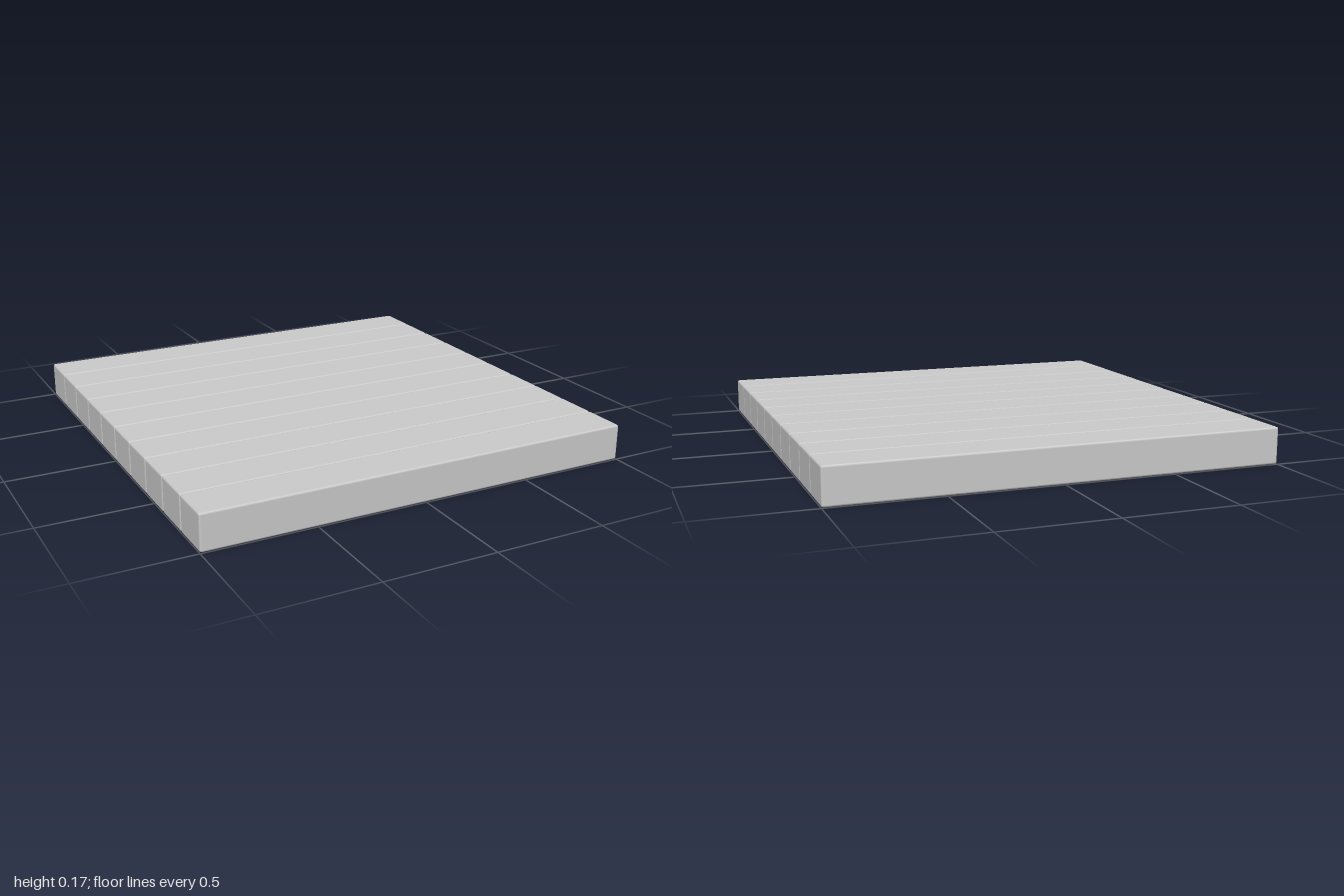
import * as THREE from 'three';
import { RoundedBoxGeometry } from 'three/addons/geometries/RoundedBoxGeometry.js';

const COUNT = 10;      // planks side by side along z
const LENGTH = 2;
const HEIGHT = 0.165;
const EDGE = 0.01;     // softened edge radius

export function createModel() {
  const group = new THREE.Group();
  group.name = 'plankFloor';
  const material = new THREE.MeshStandardMaterial({ color: 0xcccccc });

  // Identical planks, touching so their eased edges form the grooves
  const pitch = 2 / COUNT;
  const geometry = new RoundedBoxGeometry(LENGTH, HEIGHT, pitch, 1, EDGE);
  for (let i = 0; i < COUNT; i++) {
    const plank = new THREE.Mesh(geometry, material);
    plank.name = `plank${i + 1}`;
    plank.position.set(0, HEIGHT / 2, -1 + pitch * (i + 0.5));
    group.add(plank);
  }
  return group;
}
